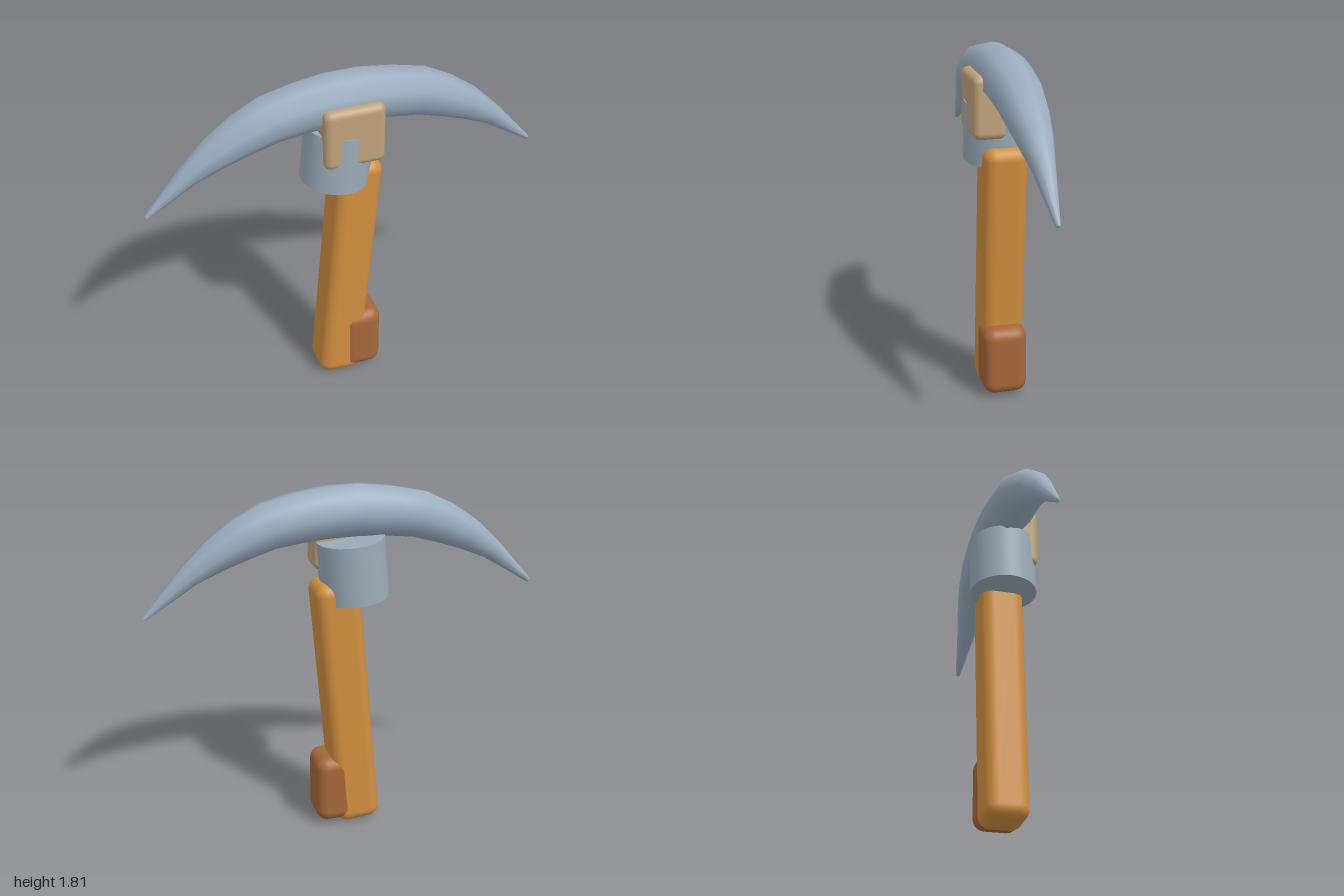
import * as THREE from 'three';
import { RoundedBoxGeometry } from 'three/addons/geometries/RoundedBoxGeometry.js';

const TILT = -0.086; // lean of the handle and collar

function addPart(group, name, geometry, color, position, tilt = 0) {
  const mesh = new THREE.Mesh(geometry, new THREE.MeshStandardMaterial({ color }));
  mesh.name = name;
  mesh.position.set(...position);
  mesh.rotation.z = tilt;
  group.add(mesh);
  return mesh;
}

// Curved head: nine-sided rings swept along an arch, tapering to both tips
function headGeometry() {
  const SIDES = 9;
  // x, y, radius from the middle to one tip
  const half = [
    [0.075, 1.69, 0.131], [0.22, 1.675, 0.126], [0.38, 1.645, 0.119], [0.51, 1.59, 0.106],
    [0.64, 1.52, 0.085], [0.77, 1.43, 0.056], [0.993, 1.236, 0.012],
  ];
  const path = [...half.map(([x, y, r]) => [-x, y, r]).reverse(), ...half];
  const last = path.length - 1;
  const positions = [];
  const index = [];
  path.forEach(([x, y, r], i) => {
    const before = path[Math.max(i - 1, 0)];
    const after = path[Math.min(i + 1, last)];
    const dir = new THREE.Vector2(after[0] - before[0], after[1] - before[1]).normalize();
    for (let j = 0; j < SIDES; j++) {
      const a = (j / SIDES) * Math.PI * 2;
      const up = r * Math.sin(a);
      positions.push(x - dir.y * up, y + dir.x * up, -r * Math.cos(a));
    }
  });
  for (let i = 0; i < last; i++) {
    for (let j = 0; j < SIDES; j++) {
      const k = (j + 1) % SIDES;
      const a = i * SIDES + j, b = i * SIDES + k;
      index.push(a, b, a + SIDES, b, b + SIDES, a + SIDES);
    }
  }
  // Tip caps
  const start = positions.length / 3;
  positions.push(path[0][0], path[0][1], 0, path[last][0], path[last][1], 0);
  for (let j = 0; j < SIDES; j++) {
    const k = (j + 1) % SIDES;
    index.push(start, k, j, start + 1, last * SIDES + j, last * SIDES + k);
  }
  const geometry = new THREE.BufferGeometry();
  geometry.setAttribute('position', new THREE.Float32BufferAttribute(positions, 3));
  geometry.setIndex(index);
  geometry.computeVertexNormals();
  return geometry;
}

export function createModel() {
  const group = new THREE.Group();
  group.name = 'pickaxe';

  addPart(group, 'head', headGeometry(), 0x9aadbf, [0, 0, 0]);

  // Collar joining the handle to the head
  addPart(group, 'collar', new THREE.CylinderGeometry(0.171, 0.171, 0.305, 32), 0x9aabb8,
    [-0.042, 1.4, 0], TILT);

  // Clasp on the front of the head
  addPart(group, 'clasp', new RoundedBoxGeometry(0.306, 0.315, 0.165, 4, 0.036), 0xbfa27a,
    [-0.002, 1.548, 0.083]);

  addPart(group, 'handle', new RoundedBoxGeometry(0.232, 1.345, 0.222, 4, 0.06), 0xd08e3e,
    [0, 0.679, 0], TILT);

  // Grip block at the foot of the handle
  addPart(group, 'grip', new RoundedBoxGeometry(0.214, 0.366, 0.228, 4, 0.06), 0xa5683a,
    [0.063, 0.207, 0.004]);

  return group;
}
